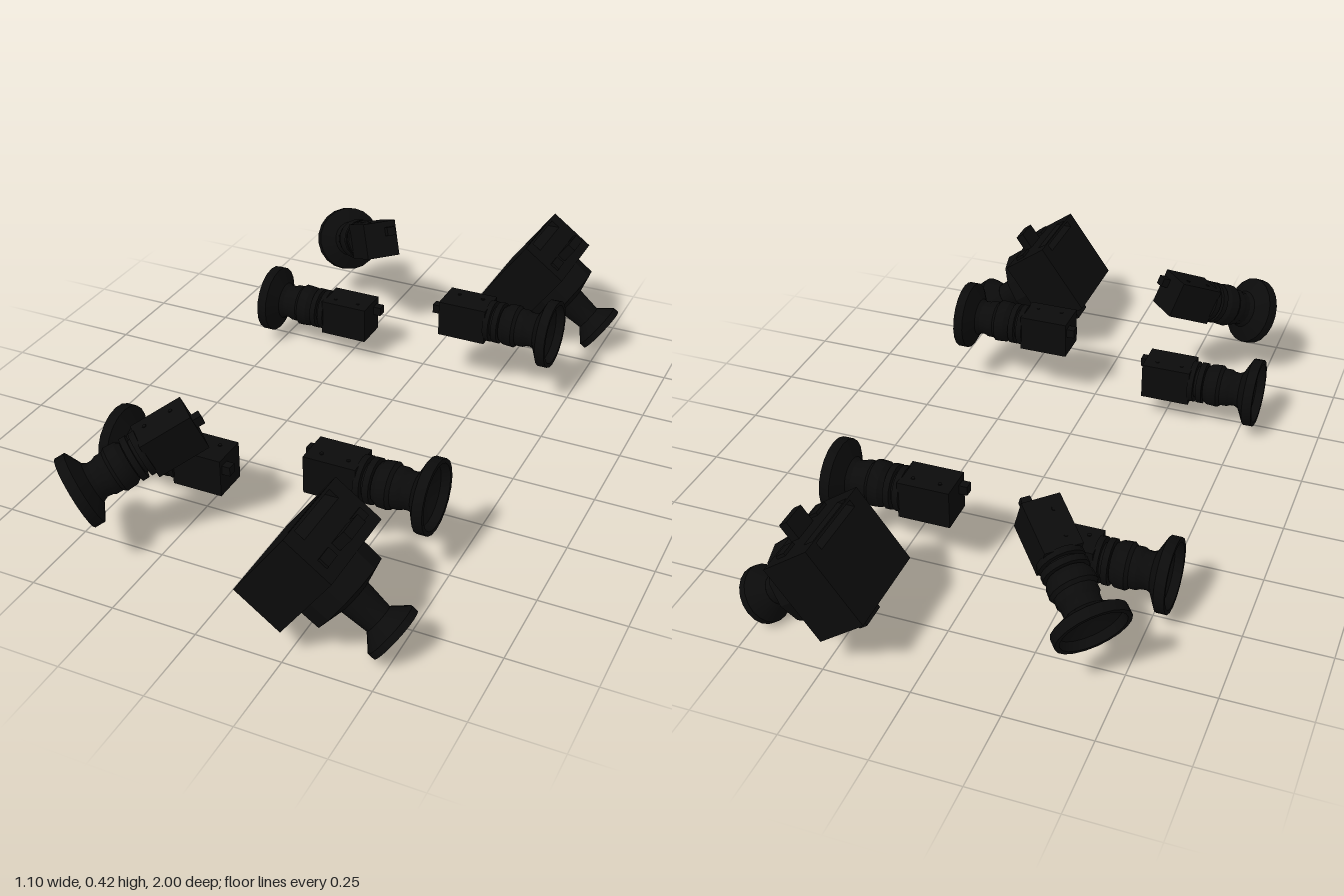
import * as THREE from 'three';
import { toCreasedNormals } from 'three/addons/utils/BufferGeometryUtils.js';

const black = new THREE.MeshStandardMaterial({ color: 0x0b0b0b });
black.name = 'black';

function add(group, name, geometry, x = 0, y = 0, z = 0) {
  const mesh = new THREE.Mesh(geometry, black);
  mesh.name = name;
  mesh.position.set(x, y, z);
  group.add(mesh);
  return mesh;
}

const box = (w, h, d) => new THREE.BoxGeometry(w, h, d);

// Turned part along local x; points are [x, radius] with the outside first
function turned(points, sides = 16) {
  const g = new THREE.LatheGeometry(points.map(([x, r]) => new THREE.Vector2(r, x)), sides);
  g.rotateZ(-Math.PI / 2);
  return toCreasedNormals(g, 0.5);
}

// Small thruster firing along +x, with the nozzle exit at the origin
function smallThruster(name) {
  const t = new THREE.Group();
  t.name = name;
  add(t, 'nozzle', turned([
    [-0.075, 0], [-0.075, 0.05], [-0.055, 0.06], [-0.03, 0.107], [0, 0.107],
    [0, 0.094], [-0.025, 0.088], [-0.05, 0.045], [-0.06, 0]], 20));
  add(t, 'chamber', turned([
    [-0.17, 0], [-0.17, 0.056], [-0.155, 0.066], [-0.125, 0.068], [-0.115, 0.06],
    [-0.095, 0.06], [-0.085, 0.055], [-0.06, 0.053], [-0.06, 0]]));
  add(t, 'neck', turned([[-0.23, 0], [-0.23, 0.05], [-0.15, 0.05], [-0.15, 0]]));
  for (const x of [-0.182, -0.21])
    add(t, 'collar', turned([[x - 0.009, 0], [x - 0.009, 0.066], [x + 0.009, 0.066], [x + 0.009, 0]]));
  add(t, 'valveBox', box(0.155, 0.116, 0.11), -0.2925);
  add(t, 'connector', box(0.026, 0.028, 0.028), -0.382, 0.024, -0.03);
  // Bolts on the top and bottom of the valve box
  for (const x of [-0.25, -0.33])
    for (const y of [-0.058, 0.058])
      add(t, 'bolt', new THREE.CylinderGeometry(0.006, 0.006, 0.005, 8), x, y, 0.02);
  return t;
}

// Large thruster firing along +x, with the nozzle exit at the origin
function largeThruster() {
  const t = new THREE.Group();
  t.name = 'largeThruster';
  add(t, 'nozzle', turned([
    [-0.06, 0], [-0.06, 0.043], [-0.02, 0.082], [0, 0.082],
    [0, 0.07], [-0.018, 0.068], [-0.045, 0.035], [-0.055, 0]], 20));
  add(t, 'throat', turned([[-0.17, 0], [-0.17, 0.06], [-0.14, 0.05], [-0.05, 0.042], [-0.05, 0]]));
  add(t, 'chamber', turned([[-0.24, 0], [-0.24, 0.122], [-0.158, 0.12], [-0.142, 0.055], [-0.142, 0]], 12));

  // Housing with its upper rear edge cut away behind a thin bar
  const [back, front, h, d] = [-0.378, -0.22, 0.1225, 0.29];
  const shape = new THREE.Shape();
  shape.moveTo(back, -h);
  shape.lineTo(front, -h);
  shape.lineTo(front, h);
  shape.lineTo(back + 0.04, h);
  shape.lineTo(back, h - 0.03);
  const body = new THREE.ExtrudeGeometry(shape, { depth: d, bevelEnabled: false });
  add(t, 'housing', body, 0, 0, -d / 2);
  add(t, 'edgeBar', box(0.008, 0.008, d), back + 0.004, h - 0.004);
  for (const s of [-1, 1])
    add(t, 'edgePlate', box(0.045, 0.034, 0.05), back + 0.0225, h - 0.017, s * (d / 2 - 0.025));

  // Mounting bar standing out above and below, with rib plates beside it
  add(t, 'mountingBar', box(0.028, 0.354, 0.08), -0.268);
  for (const s of [-1, 1])
    add(t, 'rib', box(0.03, 0.262, 0.05), -0.268, 0, s * 0.09);
  return t;
}

// Four thrusters that make up one side
function cluster(name) {
  const c = new THREE.Group();
  c.name = name;
  const rear = smallThruster('rightThruster');
  rear.position.set(-0.55, 0.139, 0.48);
  rear.rotation.y = Math.PI;

  const fore = smallThruster('leftThruster');
  fore.position.set(0.45, 0.232, 0.48);

  const angled = smallThruster('angledThruster');
  angled.position.set(-0.443, 0.217, 0.85);
  angled.rotation.set(0, -Math.PI * 0.75, -0.42, 'YZX');

  const large = largeThruster();
  large.position.set(0.498, 0.069, 0.855);
  large.rotation.z = -0.627;

  c.add(rear, fore, angled, large);
  return c;
}

export function createModel() {
  const model = new THREE.Group();
  model.name = 'thrusterSet';
  const front = cluster('frontCluster');
  const back = cluster('backCluster');
  back.scale.z = -1;
  model.add(front, back);
  return model;
}
